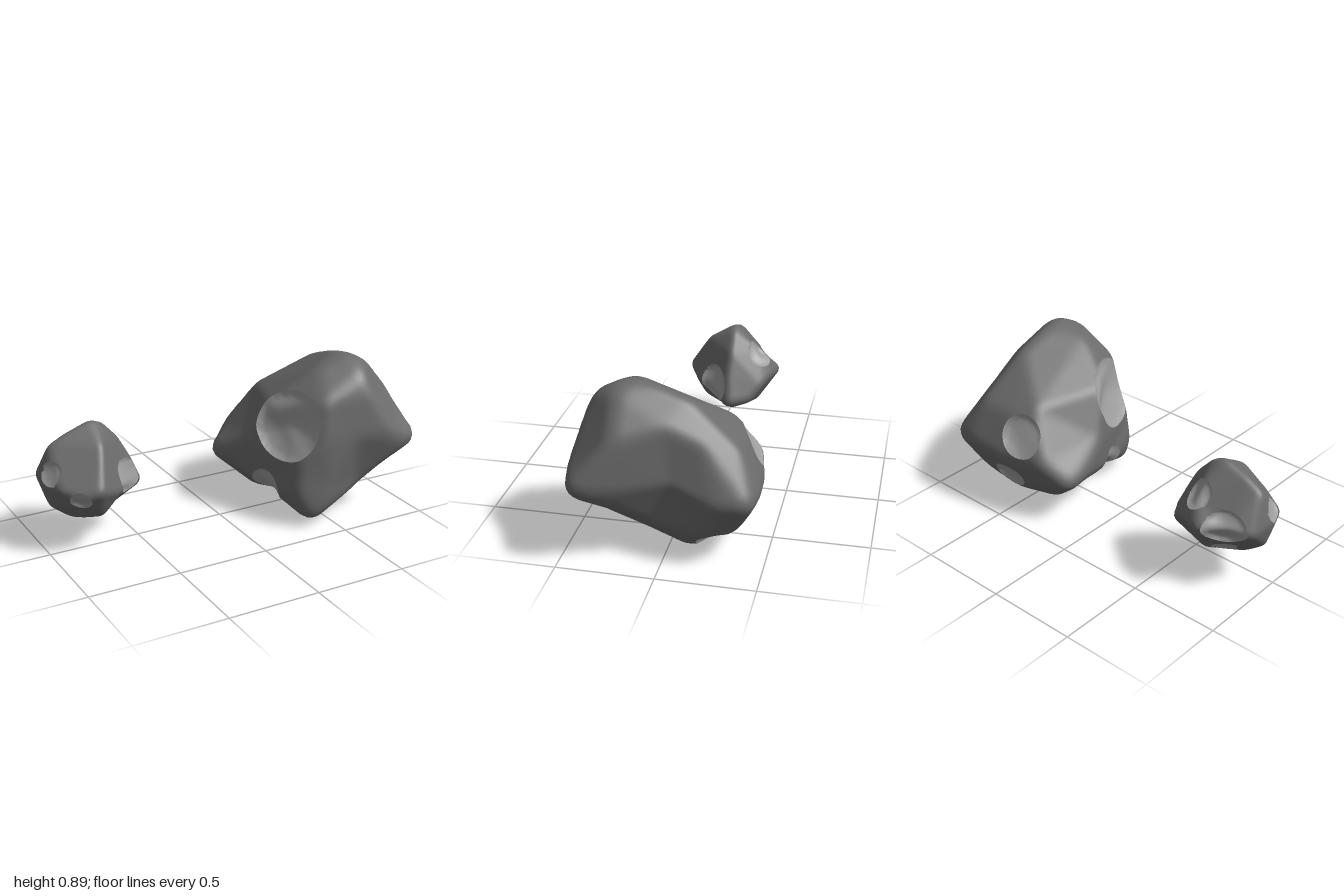
import * as THREE from 'three';
import { mergeVertices } from 'three/addons/utils/BufferGeometryUtils.js';
import { ConvexGeometry } from 'three/addons/geometries/ConvexGeometry.js';

const V = (a) => new THREE.Vector3(...a);
const SNAP = 0.025; // how far (radians) vertices are pulled onto a crater rim
const SOFT = 0.09; // how far (radians) edges between facets are rounded

// Facets spanned between the guide points, as a function giving the
// distance of the surface from the center along a direction.
function facetSurface(c, guides) {
  const points = guides.map((g) => V(g).sub(c));
  const dirs = points.map((p) => p.clone().normalize());
  const hull = new ConvexGeometry(dirs).attributes.position;
  const facets = [];
  for (let i = 0; i < hull.count; i += 3) {
    const [a, b, d] = [0, 1, 2].map((k) => {
      const h = new THREE.Vector3().fromBufferAttribute(hull, i + k);
      return points[dirs.findIndex((q) => q.distanceTo(h) < 1e-4)];
    });
    facets.push(new THREE.Matrix3().set(a.x, b.x, d.x, a.y, b.y, d.y, a.z, b.z, d.z).invert());
  }
  const w = new THREE.Vector3();
  return (dir) => {
    let best = -Infinity, length = 0;
    for (const m of facets) {
      w.copy(dir).applyMatrix3(m);
      const low = Math.min(w.x, w.y, w.z);
      if (low > best) {
        best = low;
        length = 1 / (w.x + w.y + w.z);
      }
      if (low >= 0) break;
    }
    return length;
  };
}

// Builds a softened rock through guide points, then presses round craters into it.
// Each crater is [x, y, z, radius].
function makeRock(name, center, guides, craters, detail, rockMat, craterMat) {
  const c = V(center);
  const facetReach = facetSurface(c, guides);
  const pits = craters.map(([x, y, z, r]) => {
    const d = V([x, y, z]).sub(c);
    const length = d.length();
    return { dir: d.normalize(), angle: r / length, depth: r * 0.3 };
  });

  // Average over a small ring of directions to round the facet edges
  const reach = (dir) => {
    const side = new THREE.Vector3(0.31, 0.87, 0.39).cross(dir).normalize();
    const up = dir.clone().cross(side);
    let sum = 2 * facetReach(dir);
    for (let k = 0; k < 8; k++) {
      const a = (k / 8) * Math.PI * 2;
      const s = dir.clone().addScaledVector(side, SOFT * Math.cos(a)).addScaledVector(up, SOFT * Math.sin(a));
      sum += facetReach(s.normalize());
    }
    return sum / 10;
  };

  let ball = new THREE.IcosahedronGeometry(1, detail);
  ball.deleteAttribute('uv');
  ball.deleteAttribute('normal');
  ball = mergeVertices(ball, 1e-4);
  const pos = ball.attributes.position;
  const dirs = [];
  const v = new THREE.Vector3();
  for (let i = 0; i < pos.count; i++) {
    v.fromBufferAttribute(pos, i).normalize();
    let dent = 0;
    for (const p of pits) {
      let a = v.angleTo(p.dir);
      if (Math.abs(a - p.angle) < SNAP) {
        const axis = p.dir.clone().cross(v).normalize();
        v.copy(p.dir).applyAxisAngle(axis, p.angle);
        a = p.angle;
      }
      const t = a / p.angle;
      if (t < 1) dent = Math.max(dent, p.depth * Math.sqrt(1 - t * t));
    }
    dirs.push(v.clone());
    const r = reach(v) - dent;
    pos.setXYZ(i, c.x + v.x * r, c.y + v.y * r, c.z + v.z * r);
  }

  // Separate crater floors from the outer surface, giving a crisp rim
  const outer = [], floor = [];
  const index = ball.index.array;
  for (let i = 0; i < index.length; i += 3) {
    const tri = [index[i], index[i + 1], index[i + 2]];
    v.set(0, 0, 0);
    tri.forEach((k) => v.add(dirs[k]));
    v.normalize();
    const inside = pits.some((p) => v.angleTo(p.dir) < p.angle);
    (inside ? floor : outer).push(...tri);
  }
  const group = new THREE.Group();
  group.name = name;
  const add = (label, faces, mat) => {
    const g = new THREE.BufferGeometry();
    g.setAttribute('position', pos.clone());
    g.setIndex(faces);
    g.computeVertexNormals();
    const mesh = new THREE.Mesh(g, mat);
    mesh.name = label;
    group.add(mesh);
  };
  add(name + 'Surface', outer, rockMat);
  add(name + 'Craters', floor, craterMat);
  return group;
}

export function createModel() {
  const rock = new THREE.MeshStandardMaterial({ color: 0x6b6b6b });
  rock.name = 'dark grey rock';
  const pit = new THREE.MeshStandardMaterial({ color: 0x9c9c9c });
  pit.name = 'light grey crater';

  const model = new THREE.Group();
  model.name = 'asteroids';

  // Large asteroid
  const largeGuides = [
    // crown and back slope
    [0.67, 0.9, 0.2], [0.49, 0.84, 0.2], [0.77, 0.86, 0.24], [0.67, 0.88, 0.06],
    [0.67, 0.82, -0.1], [0.72, 0.59, -0.37], [0.5, 0.58, -0.36], [0.39, 0.62, -0.29],
    [0.82, 0.72, -0.02], [0.8, 0.63, -0.2],
    // front and pointed corner
    [0.85, 0.47, 0.48], [1.03, 0.42, 0.44], [0.93, 0.67, 0.23], [0.7, 0.73, 0.41],
    [0.68, 0.83, 0.36], [0.6, 0.5, 0.43], [0.45, 0.27, 0.42], [0.4, 0.12, 0.42],
    [0.34, 0.02, 0.39], [0.82, 0.32, 0.43], [0.66, 0.17, 0.36],
    // underside
    [0.54, -0.01, -0.09], [0.55, 0.02, 0.16], [0.72, 0.03, -0.12],
    [0.75, 0.1, -0.25], [0.52, 0.1, -0.34], [0.33, 0.04, -0.2], [0.75, 0.16, -0.36],
    // hollow side and back
    [0.845, 0.44, -0.04], [0.96, 0.42, 0.24], [0.8, 0.2, 0.08], [0.91, 0.36, -0.29],
    [0.89, 0.36, -0.45], [0.73, 0.38, -0.48], [0.54, 0.35, -0.465], [0.84, 0.17, -0.2],
    // far side, around the wide crater
    [0.09, 0.25, -0.34], [0.23, 0.36, -0.41], [0.12, 0.25, -0.18], [0.16, 0.4, -0.02],
    [0.24, 0.65, 0.11], [0.42, 0.69, 0.37], [0.4, 0.5, 0.4], [0.3, 0.36, 0.36],
    [0.27, 0.2, 0.36], [0.2, 0.18, 0.08], [0.28, 0.55, 0.19],
  ];
  const largeCraters = [
    [0.29, 0.54, 0.2, 0.18], [0.42, 0.49, -0.385, 0.115], [0.52, 0.18, -0.41, 0.1],
    [0.73, 0.1, -0.23, 0.085], [0.22, 0.17, 0.12, 0.1],
  ];
  model.add(makeRock('largeAsteroid', [0.56, 0.42, 0], largeGuides, largeCraters, 24, rock, pit));

  // Small asteroid
  const smallGuides = [
    // crown
    [-0.72, 0.675, -0.08], [-0.87, 0.62, -0.08], [-0.95, 0.58, -0.08], [-0.65, 0.65, -0.08],
    [-0.56, 0.55, -0.08], [-0.72, 0.58, 0.08],
    // pointed side
    [-0.42, 0.27, -0.08], [-0.49, 0.42, -0.07], [-0.49, 0.28, -0.2], [-0.5, 0.29, -0.01],
    // front
    [-0.64, 0.33, 0.13], [-0.78, 0.38, 0.21], [-0.87, 0.34, 0.17], [-0.96, 0.38, 0.09],
    // underside
    [-0.78, 0.14, -0.05], [-0.63, 0.17, -0.07], [-0.87, 0.165, -0.05], [-0.97, 0.24, -0.05],
    [-0.74, 0.2, 0.1], [-0.72, 0.21, -0.22],
    // back and far side
    [-1.01, 0.4, -0.05], [-0.99, 0.38, -0.2], [-0.89, 0.4, -0.27], [-0.76, 0.4, -0.35],
    [-0.66, 0.4, -0.315], [-0.56, 0.36, -0.265], [-0.67, 0.53, -0.24],
  ];
  const smallCraters = [
    [-0.88, 0.32, 0.15, 0.06], [-0.55, 0.37, 0.04, 0.105], [-0.67, 0.52, -0.23, 0.08],
    [-0.99, 0.45, 0, 0.07], [-0.87, 0.4, -0.27, 0.11], [-0.82, 0.2, -0.19, 0.075],
  ];
  model.add(makeRock('smallAsteroid', [-0.74, 0.4, -0.07], smallGuides, smallCraters, 20, rock, pit));

  return model;
}
